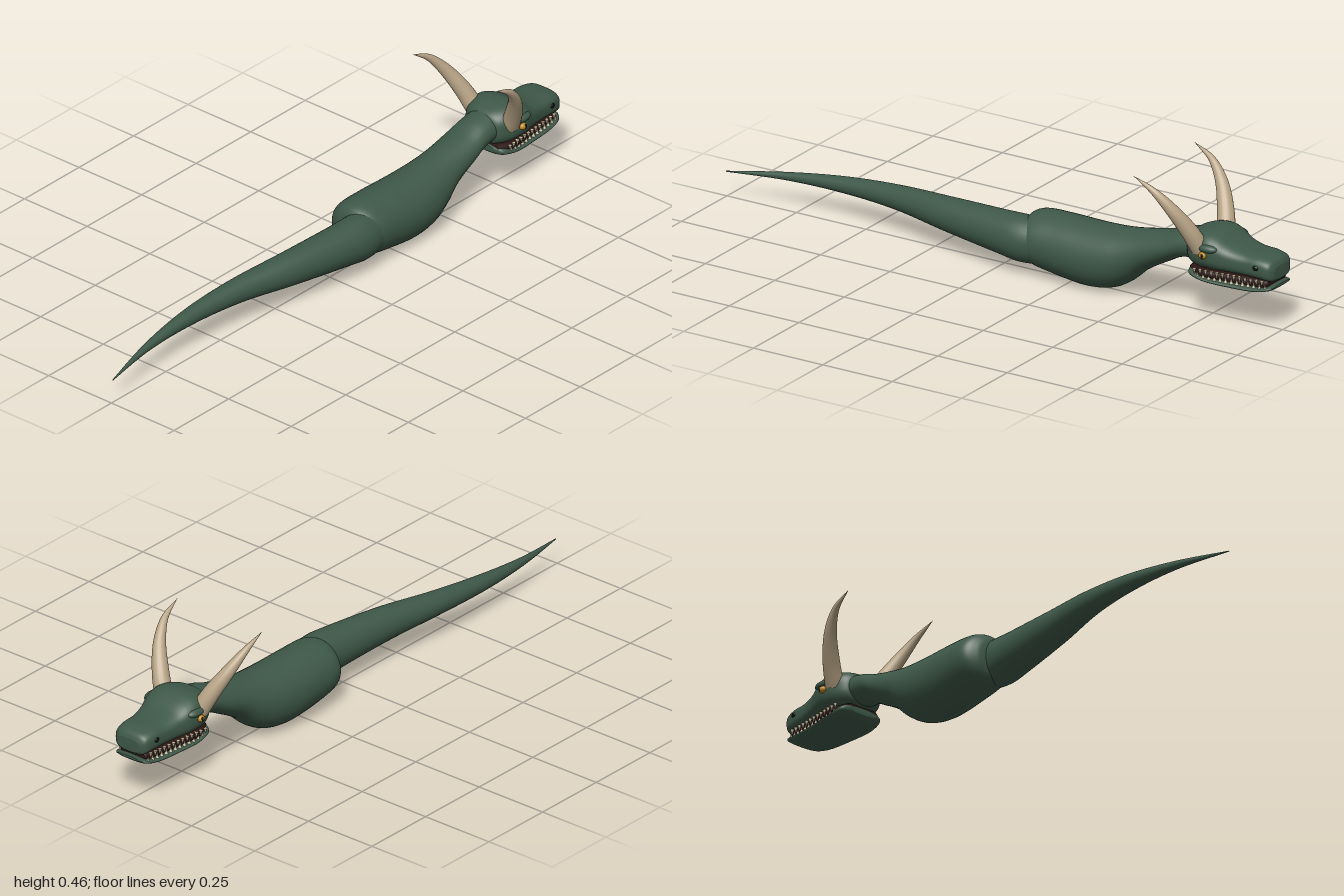
import * as THREE from 'three';

const mat = (name, color) => {
  const m = new THREE.MeshStandardMaterial({ color });
  m.name = name;
  return m;
};

// Lofts superellipse rings along x. Row: [x, top, bottom, zCentre, halfWidth, squareness]
function loft(rows, rings = 60, sides = 40) {
  const n = rows.length - 1;
  const cubic = (a, b, c, d, t) =>
    b + 0.5 * t * (c - a + t * (2 * a - 5 * b + 4 * c - d + t * (3 * (b - c) + d - a)));
  const pos = [], index = [];
  for (let i = 0; i <= rings; i++) {
    const u = (i / rings) * n, k = Math.min(Math.floor(u), n - 1);
    const q = [k - 1, k, k + 1, k + 2].map((j) => rows[Math.max(0, Math.min(n, j))]);
    const [x, top, bottom, zc, w, e] = rows[0].map((_, c) => cubic(q[0][c], q[1][c], q[2][c], q[3][c], u - k));
    for (let j = 0; j < sides; j++) {
      const a = (j / sides) * Math.PI * 2, c = Math.cos(a), s = Math.sin(a);
      pos.push(x,
        (top + bottom) / 2 + ((top - bottom) / 2) * Math.sign(c) * Math.abs(c) ** (2 / e),
        zc + w * Math.sign(s) * Math.abs(s) ** (2 / e));
    }
  }
  for (let i = 0; i < rings; i++) {
    for (let j = 0; j < sides; j++) {
      const a = i * sides + j, b = i * sides + ((j + 1) % sides);
      index.push(a, b, a + sides, b, b + sides, a + sides);
    }
  }
  // End caps
  const first = rows[0], last = rows[n], c0 = pos.length / 3;
  pos.push(first[0], (first[1] + first[2]) / 2, first[3], last[0], (last[1] + last[2]) / 2, last[3]);
  for (let j = 0; j < sides; j++) {
    const k = (j + 1) % sides, r = rings * sides;
    index.push(c0, k, j, c0 + 1, r + j, r + k);
  }
  const g = new THREE.BufferGeometry();
  g.setAttribute('position', new THREE.Float32BufferAttribute(pos, 3));
  g.setIndex(index);
  g.computeVertexNormals();
  return g;
}

// Round tube tapering to a point along a curve
function horn(points, radius) {
  const curve = new THREE.CatmullRomCurve3(points.map((p) => new THREE.Vector3(...p)));
  const rings = 28, sides = 20;
  const g = new THREE.TubeGeometry(curve, rings, 1, sides, false);
  const p = g.attributes.position, v = new THREE.Vector3();
  for (let i = 0; i <= rings; i++) {
    const t = i / rings, c = curve.getPointAt(t);
    const r = radius * Math.max(0.01, 1 - t ** 1.7);
    for (let j = 0; j <= sides; j++) {
      const k = i * (sides + 1) + j;
      v.fromBufferAttribute(p, k).sub(c).multiplyScalar(r).add(c);
      p.setXYZ(k, v.x, v.y, v.z);
    }
  }
  g.computeVertexNormals();
  return g;
}

export function createModel() {
  const group = new THREE.Group();
  const skin = mat('green hide', 0x3e5848);
  const bone = mat('horn', 0xb9a587);
  const ivory = mat('tooth', 0xd6c8a8);
  const amber = mat('amber eye', 0xc08a1e);
  const black = mat('black', 0x0c0c0c);
  const mouth = mat('mouth lining', 0x2c1614);

  const add = (name, geometry, material, position = [0, 0, 0], scale = [1, 1, 1]) => {
    const m = new THREE.Mesh(geometry, material);
    m.name = name;
    m.position.set(...position);
    m.scale.set(...scale);
    group.add(m);
    return m;
  };

  // Tail, swinging sideways to a thin tip
  add('tail', loft([
    [-1, 0.086, 0.083, 0.005, 0.0015, 2],
    [-0.8, 0.113, 0.087, -0.03, 0.013, 2],
    [-0.6, 0.138, 0.086, -0.04, 0.026, 2],
    [-0.4, 0.158, 0.081, -0.026, 0.038, 2],
    [-0.2, 0.174, 0.067, 0.006, 0.052, 2],
    [0, 0.184, 0.05, 0.028, 0.064, 2],
    [0.1, 0.187, 0.04, 0.032, 0.068, 2],
    [0.2, 0.175, 0.05, 0.02, 0.06, 2],
  ]), skin);

  // Torso and neck
  add('body', loft([
    [0.085, 0.14, 0.09, 0, 0.03, 2],
    [0.095, 0.182, 0.052, 0, 0.066, 2],
    [0.13, 0.203, 0.03, -0.003, 0.095, 2],
    [0.22, 0.206, 0.013, -0.004, 0.101, 2],
    [0.32, 0.205, 0.003, -0.003, 0.102, 2],
    [0.4, 0.208, 0.014, -0.002, 0.096, 2],
    [0.46, 0.214, 0.045, -0.002, 0.085, 2],
    [0.52, 0.224, 0.096, -0.002, 0.073, 2],
    [0.6, 0.241, 0.142, -0.002, 0.068, 2],
    [0.66, 0.263, 0.17, 0, 0.062, 2],
    [0.74, 0.282, 0.175, 0, 0.06, 2],
  ], 80), skin);

  // Skull and snout
  add('head', loft([
    [0.685, 0.25, 0.19, 0, 0.03, 2.4],
    [0.7, 0.274, 0.172, 0, 0.066, 2.6],
    [0.735, 0.288, 0.165, 0, 0.087, 2.8],
    [0.775, 0.291, 0.166, 0, 0.096, 2.8],
    [0.81, 0.28, 0.167, 0, 0.093, 2.8],
    [0.85, 0.258, 0.168, 0, 0.081, 2.8],
    [0.9, 0.246, 0.168, 0, 0.071, 2.9],
    [0.95, 0.243, 0.167, 0, 0.068, 3],
    [0.985, 0.234, 0.164, 0, 0.061, 3],
    [0.998, 0.215, 0.172, 0, 0.042, 3],
  ], 70, 48), skin);

  // Lower jaw
  add('jaw', loft([
    [0.7, 0.165, 0.145, 0, 0.05, 2.4],
    [0.715, 0.168, 0.134, 0, 0.078, 2.4],
    [0.77, 0.15, 0.129, 0, 0.086, 2.4],
    [0.85, 0.148, 0.125, 0, 0.079, 2.4],
    [0.93, 0.148, 0.127, 0, 0.072, 2.4],
    [0.98, 0.154, 0.136, 0, 0.062, 2.4],
    [1, 0.156, 0.148, 0, 0.04, 2.4],
  ], 50), skin);

  // Dark mouth lining between the jaws
  add('mouthLining', loft([
    [0.705, 0.172, 0.143, 0, 0.06, 4],
    [0.76, 0.172, 0.143, 0, 0.078, 4],
    [0.85, 0.172, 0.142, 0, 0.068, 4],
    [0.96, 0.172, 0.143, 0, 0.055, 4],
    [0.978, 0.17, 0.148, 0, 0.045, 4],
  ], 24, 24), mouth);

  const ball = new THREE.SphereGeometry(1, 24, 16);
  const tooth = new THREE.ConeGeometry(0.006, 0.018, 8);

  for (const s of [1, -1]) {
    const side = s > 0 ? 'Near' : 'Far';
    // Backswept horns
    add('horn' + side, horn([
      [0.75, 0.235, 0.07 * s],
      [0.73, 0.295, 0.1 * s],
      [0.69, 0.37, 0.138 * s],
      [0.64, 0.426, 0.16 * s],
      [0.573, 0.463, 0.167 * s],
    ], 0.029), bone);

    // Brow ridge, eye, pupil and nostril
    add('brow' + side, ball, skin, [0.785, 0.247, 0.083 * s], [0.035, 0.014, 0.02]);
    add('eye' + side, ball, amber, [0.775, 0.226, 0.097 * s], [0.013, 0.011, 0.011]);
    add('pupil' + side, ball, black, [0.778, 0.227, 0.106 * s], [0.004, 0.008, 0.003]);
    add('nostril' + side, ball, black, [0.945, 0.211, 0.067 * s], [0.01, 0.008, 0.005]);

    // Interlocking rows of teeth
    for (let i = 0; i < 13; i++) {
      const x = 0.735 + i * 0.019, z = s * (0.081 - i * 0.0019);
      add('upperTooth', tooth, ivory, [x, 0.162, z]).rotation.x = Math.PI;
      add('lowerTooth', tooth, ivory, [x + 0.0095, 0.152, z * 0.96]);
    }
  }
  return group;
}
